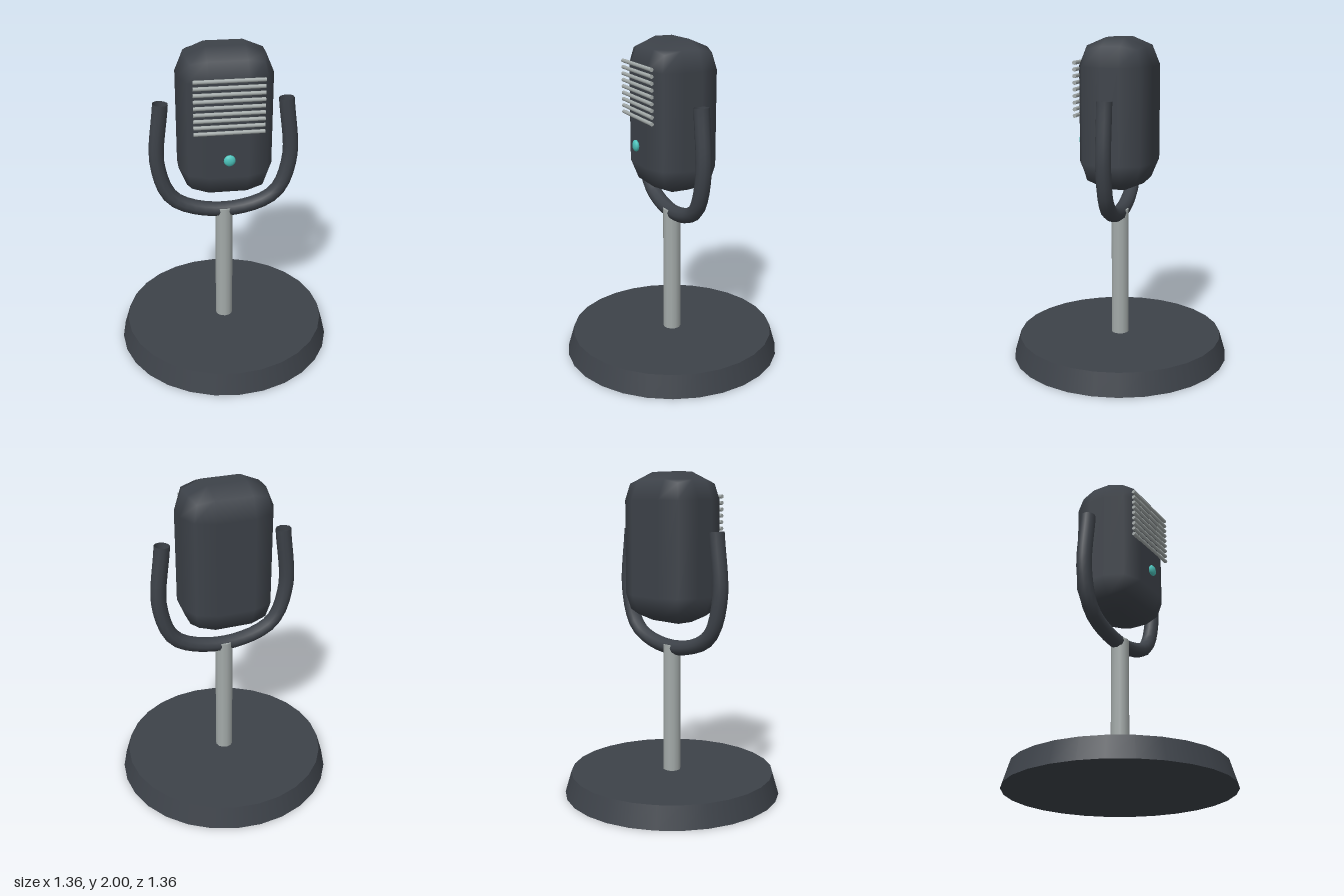
import * as THREE from 'three';

const material = (name, color) => {
  const m = new THREE.MeshStandardMaterial({ color });
  m.name = name;
  return m;
};

// Box with two-step rounded edges: core half sizes plus a bevel radius
function bevelledBox(cx, cy, cz, r) {
  const geo = new THREE.BoxGeometry(2, 2, 2, 3, 3, 3);
  const pos = geo.attributes.position;
  const core = new THREE.Vector3(cx, cy, cz);
  const v = new THREE.Vector3(), dir = new THREE.Vector3();
  const outer = (g) => (Math.abs(g) > 0.9 ? Math.sign(g) : 0);
  for (let i = 0; i < pos.count; i++) {
    v.fromBufferAttribute(pos, i);
    dir.set(outer(v.x), outer(v.y), outer(v.z)).normalize();
    v.set(Math.sign(v.x), Math.sign(v.y), Math.sign(v.z)).multiply(core).addScaledVector(dir, r);
    pos.setXYZ(i, v.x, v.y, v.z);
    geo.attributes.normal.setXYZ(i, dir.x, dir.y, dir.z);
  }
  return geo;
}

export function createModel() {
  const group = new THREE.Group();
  group.name = 'microphone';

  const dark = material('charcoal', 0x3d4249);
  dark.side = THREE.DoubleSide;
  const metal = material('brushedMetal', 0xa3aaa9);
  const teal = material('tealLight', 0x4cc4bc);

  const add = (name, geo, mat, x, y, z) => {
    const mesh = new THREE.Mesh(geo, mat);
    mesh.name = name;
    mesh.position.set(x, y, z);
    group.add(mesh);
    return mesh;
  };

  // Stand
  add('base', new THREE.CylinderGeometry(0.64, 0.68, 0.135, 28), dark, 0, 0.0675, 0);
  add('post', new THREE.CylinderGeometry(0.055, 0.055, 0.81, 12), metal, 0, 0.54, 0);

  // U-shaped yoke with open tube ends
  const half = [[0.375, 1.65], [0.405, 1.25], [0.31, 1.015]];
  const points = [
    ...half.map(([x, y]) => new THREE.Vector3(-x, y, 0)),
    new THREE.Vector3(0, 0.925, 0),
    ...half.slice().reverse().map(([x, y]) => new THREE.Vector3(x, y, 0)),
  ];
  add('yoke', new THREE.TubeGeometry(new THREE.CatmullRomCurve3(points), 32, 0.047, 10), dark, 0, 0, 0);

  // Head
  add('head', bevelledBox(0.114, 0.287, 0.055, 0.168), dark, 0, 1.545, 0);

  // Grille bars
  for (let i = 0; i < 9; i++) {
    const bar = add('grilleBar', new THREE.CylinderGeometry(0.012, 0.012, 0.41, 8), metal, 0, 1.543 + i * 0.0388, 0.227);
    bar.rotation.z = Math.PI / 2;
  }

  // Indicator light
  const light = add('indicatorLight', new THREE.SphereGeometry(0.035, 12, 8), teal, 0, 1.374, 0.24);
  light.scale.z = 0.5;

  return group;
}
